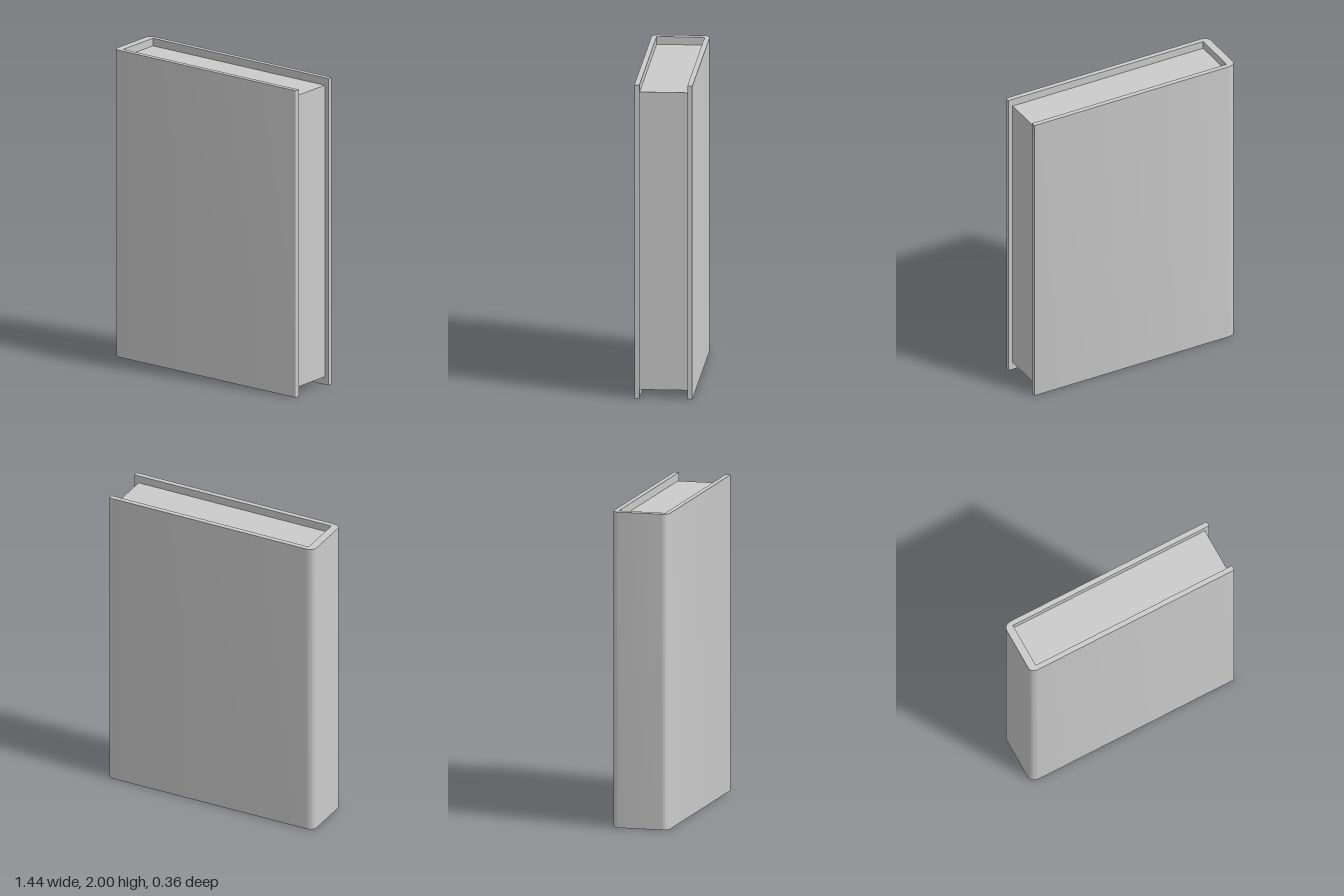
import * as THREE from 'three';
import { toCreasedNormals } from 'three/addons/utils/BufferGeometryUtils.js';

const HEIGHT = 2;
const X = 0.72;        // half width of the cover
const Z = 0.182;       // half thickness of the book
const INNER_Z = 0.15;  // half thickness of the pages
const SPINE_X = -0.67; // inner face of the spine
const PAGE_X = 0.69;   // fore edge of the pages
const INSET = 0.05;    // pages set in from top and bottom

// U-shaped cross-section: two boards joined by a spine with rounded corners
function coverShape() {
  const e = 0.006, rx = 0.055, rz = 0.038;
  const s = new THREE.Shape();
  s.moveTo(-X + rx, -Z);
  s.lineTo(X - e, -Z);
  s.quadraticCurveTo(X, -Z, X, -Z + e);
  s.lineTo(X, -INNER_Z);
  s.lineTo(SPINE_X, -INNER_Z);
  s.lineTo(SPINE_X, INNER_Z);
  s.lineTo(X, INNER_Z);
  s.lineTo(X, Z - e);
  s.quadraticCurveTo(X, Z, X - e, Z);
  s.lineTo(-X + rx, Z);
  s.absellipse(-X + rx, Z - rz, rx, rz, Math.PI / 2, Math.PI, false, 0);
  s.lineTo(-X, -Z + rz);
  s.absellipse(-X + rx, -Z + rz, rx, rz, Math.PI, Math.PI * 1.5, false, 0);
  return s;
}

export function createModel() {
  const book = new THREE.Group();
  book.name = 'book';
  const material = new THREE.MeshStandardMaterial({ color: 0xcccccc });

  // Cover, extruded upwards
  const coverGeometry = new THREE.ExtrudeGeometry(coverShape(), {
    depth: HEIGHT, bevelEnabled: false, curveSegments: 8,
  });
  coverGeometry.rotateX(-Math.PI / 2);
  const cover = new THREE.Mesh(toCreasedNormals(coverGeometry, 0.6), material);
  cover.name = 'cover';
  book.add(cover);

  // Page block
  const pages = new THREE.Mesh(
    new THREE.BoxGeometry(PAGE_X - SPINE_X, HEIGHT - 2 * INSET, 2 * INNER_Z), material);
  pages.position.set((PAGE_X + SPINE_X) / 2, HEIGHT / 2, 0);
  pages.name = 'pages';
  book.add(pages);

  return book;
}
